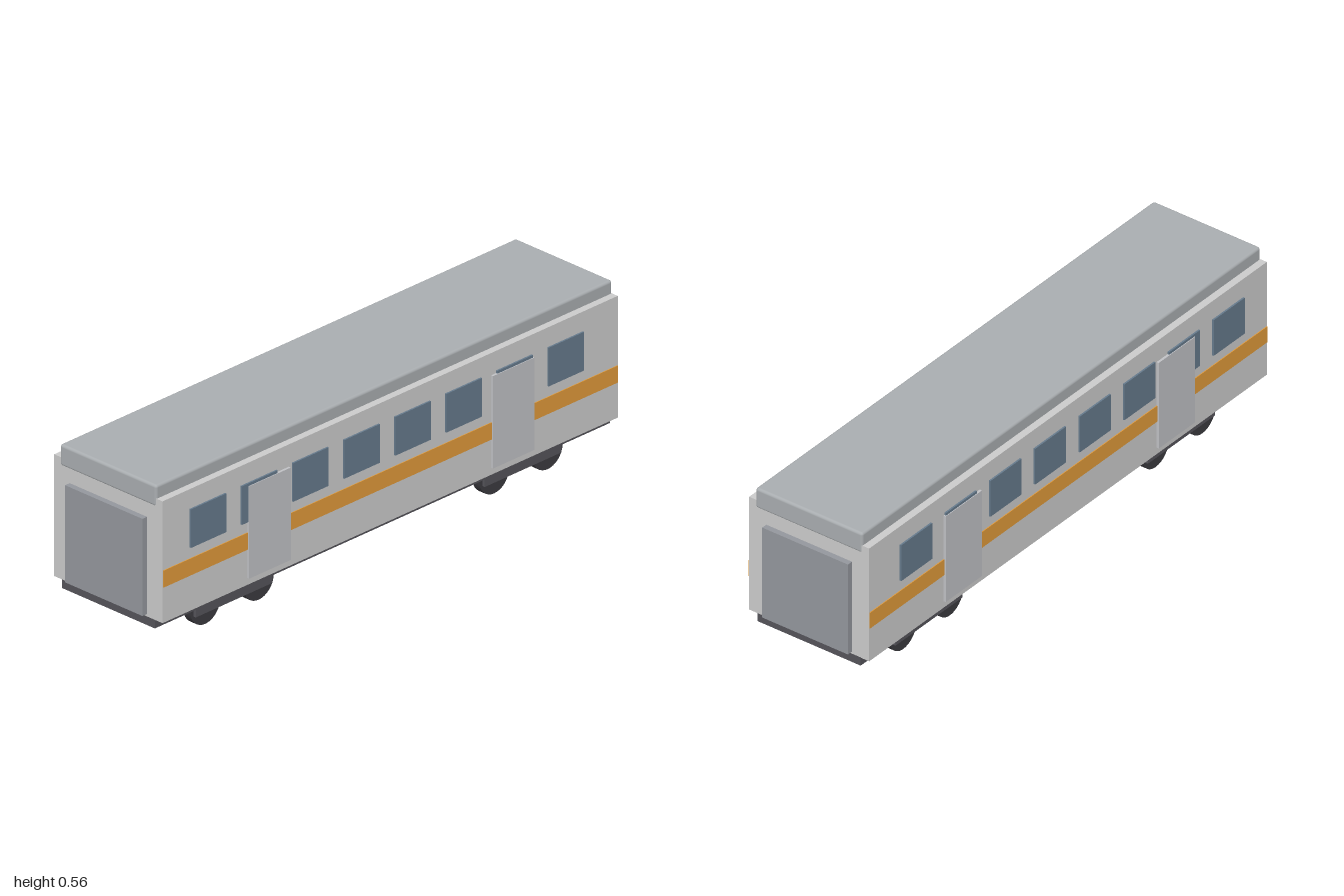
import * as THREE from 'three';
import { RoundedBoxGeometry } from 'three/addons/geometries/RoundedBoxGeometry.js';

const paint = (color) => new THREE.MeshStandardMaterial({ color });

export function createModel() {
  const group = new THREE.Group();
  const shell = paint(0xd2d4d6);
  const roofGrey = paint(0xa9adb0);
  const doorGrey = paint(0xc0c1c5);
  const endGrey = paint(0x94979d);
  const frameGrey = paint(0x55545a);
  const wheelGrey = paint(0x3c3b40);
  const orange = paint(0xe09a3a);
  const glass = paint(0x667a8c);

  const add = (name, geometry, material, x, y, z, parent = group) => {
    const mesh = new THREE.Mesh(geometry, material);
    mesh.name = name;
    mesh.position.set(x, y, z);
    parent.add(mesh);
    return mesh;
  };
  const box = (w, h, d) => new THREE.BoxGeometry(w, h, d);

  // Car body, roof with softened edges, underframe
  add('body', box(1.96, 0.41, 0.458), shell, 0, 0.313, 0);
  add('roof', new RoundedBoxGeometry(1.964, 0.072, 0.408, 3, 0.009), roofGrey, 0, 0.526, 0);
  add('underframe', box(1.96, 0.03, 0.393), frameGrey, 0, 0.094, 0);

  // Coloured band running along both sides
  add('stripe', box(1.958, 0.057, 0.464), orange, 0, 0.2565, 0);

  // Windows and doors on both sides
  const windowGeo = box(0.153, 0.13, 0.012);
  const doorGeo = box(0.179, 0.311, 0.016);
  for (const side of [1, -1]) {
    for (let i = 0; i < 8; i++) {
      add('window', windowGeo, glass, -0.787 + i * 0.22, 0.387, side * 0.229);
    }
    for (const x of [-0.526, 0.524]) {
      add('sideDoor', doorGeo, doorGrey, x, 0.2875, side * 0.2295);
    }
  }

  // Gangway doors at each end
  for (const end of [1, -1]) {
    add('endDoor', box(0.03, 0.327, 0.327), endGrey, end * 0.985, 0.28, 0);
  }

  // Bogies with two pairs of wheels each
  const wheelGeo = new THREE.CylinderGeometry(0.065, 0.065, 0.029, 32).rotateX(Math.PI / 2);
  for (const end of [1, -1]) {
    const bogie = new THREE.Group();
    bogie.name = 'bogie';
    bogie.position.x = end * 0.622;
    add('bogieFrame', box(0.33, 0.042, 0.36), frameGrey, 0, 0.063, 0, bogie);
    for (const dx of [-0.115, 0.115]) {
      for (const z of [-0.1565, 0.1565]) {
        add('wheel', wheelGeo, wheelGrey, dx, 0.065, z, bogie);
      }
    }
    group.add(bogie);
  }

  return group;
}
